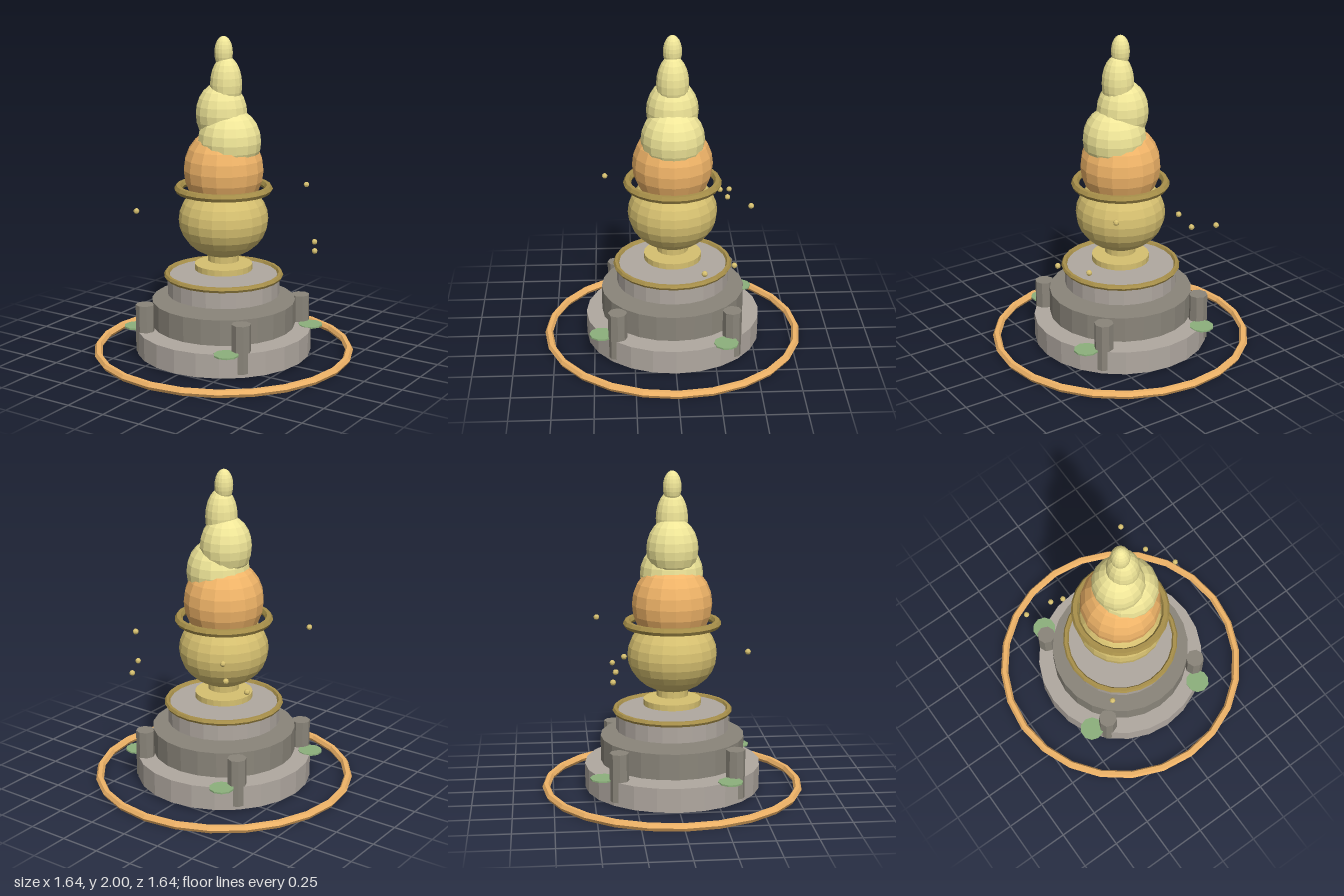
import * as THREE from 'three';

const material = (color) => new THREE.MeshStandardMaterial({ color, flatShading: true });
const STONE = material(0xb0a8a0), DARK_STONE = material(0x8a857a), GOLD = material(0xd6c070);
const BRASS = material(0xa8904a), ORANGE = material(0xf0b468), CREAM = material(0xf0e698), LEAF = material(0x8cb07c);

export function createModel() {
  const model = new THREE.Group();

  const add = (name, geometry, mat, x, y, z) => {
    const mesh = new THREE.Mesh(geometry, mat);
    mesh.name = name;
    mesh.position.set(x, y, z);
    model.add(mesh);
    return mesh;
  };
  // upright cylinder between two heights
  const drum = (name, r, y0, y1, mat, sides = 24, x = 0, z = 0) =>
    add(name, new THREE.CylinderGeometry(r, r, y1 - y0, sides), mat, x, (y0 + y1) / 2, z);
  // horizontal ring with a hexagonal section
  const ring = (name, r, tube, y, mat) =>
    add(name, new THREE.TorusGeometry(r, tube, 6, 24).rotateX(Math.PI / 2), mat, 0, y, 0);
  // ball stretched in height
  const ball = (name, r, ry, mat, x, y, z, sides = 16, rows = 12) =>
    add(name, new THREE.SphereGeometry(r, sides, rows).scale(1, ry / r, 1), mat, x, y, z);

  // stepped base
  ring('groundRing', 0.795, 0.025, 0.0217, ORANGE);
  drum('lowerTier', 0.55, 0.02, 0.17, STONE);
  drum('middleTier', 0.45, 0.19, 0.35, DARK_STONE);
  drum('upperTier', 0.352, 0.39, 0.51, STONE);
  ring('tierRing', 0.356, 0.018, 0.51, BRASS);

  // corner pillars and leaf pads round the lower tier
  for (let i = 0; i < 4; i++) {
    const a = Math.PI / 4 + i * Math.PI / 2, b = -0.6 + i * Math.PI / 2;
    drum('pillar', 0.059, 0.042, 0.342, DARK_STONE, 8, 0.5 * Math.cos(a), 0.5 * Math.sin(a));
    drum('leafPad', 0.076, 0.165, 0.175, LEAF, 10, 0.55 * Math.cos(b), 0.55 * Math.sin(b));
  }

  // stem and rounded body
  drum('foot', 0.18, 0.543, 0.58, GOLD);
  drum('neck', 0.098, 0.6, 0.7, GOLD, 16);
  ball('lowerBody', 0.279, 0.24, GOLD, 0, 0.865, 0, 20, 14);
  ball('upperBody', 0.249, 0.262, ORANGE, 0, 1.18, 0);
  ring('bodyRing', 0.28, 0.025, 1.06, BRASS);

  // swirled top: radius, half height, x, y
  const swirls = [
    [0.196, 0.206, 0.043, 1.36],
    [0.16, 0.195, -0.015, 1.525],
    [0.099, 0.173, 0.018, 1.707],
    [0.057, 0.1, 0, 1.9],
  ];
  for (const [r, ry, x, y] of swirls) ball('swirl', r, ry, CREAM, x, y, 0);

  // floating beads
  const beads = [
    [0.33, 1.035, -0.455], [-0.36, 0.953, 0.42], [-0.45, 0.806, -0.392], [-0.28, 0.825, -0.367],
    [-0.22, 0.905, -0.313], [0.453, 0.702, -0.35], [0.557, 0.702, -0.165],
  ];
  for (const [x, y, z] of beads) ball('bead', 0.018, 0.018, GOLD, x, y, z, 8, 6);

  return model;
}
